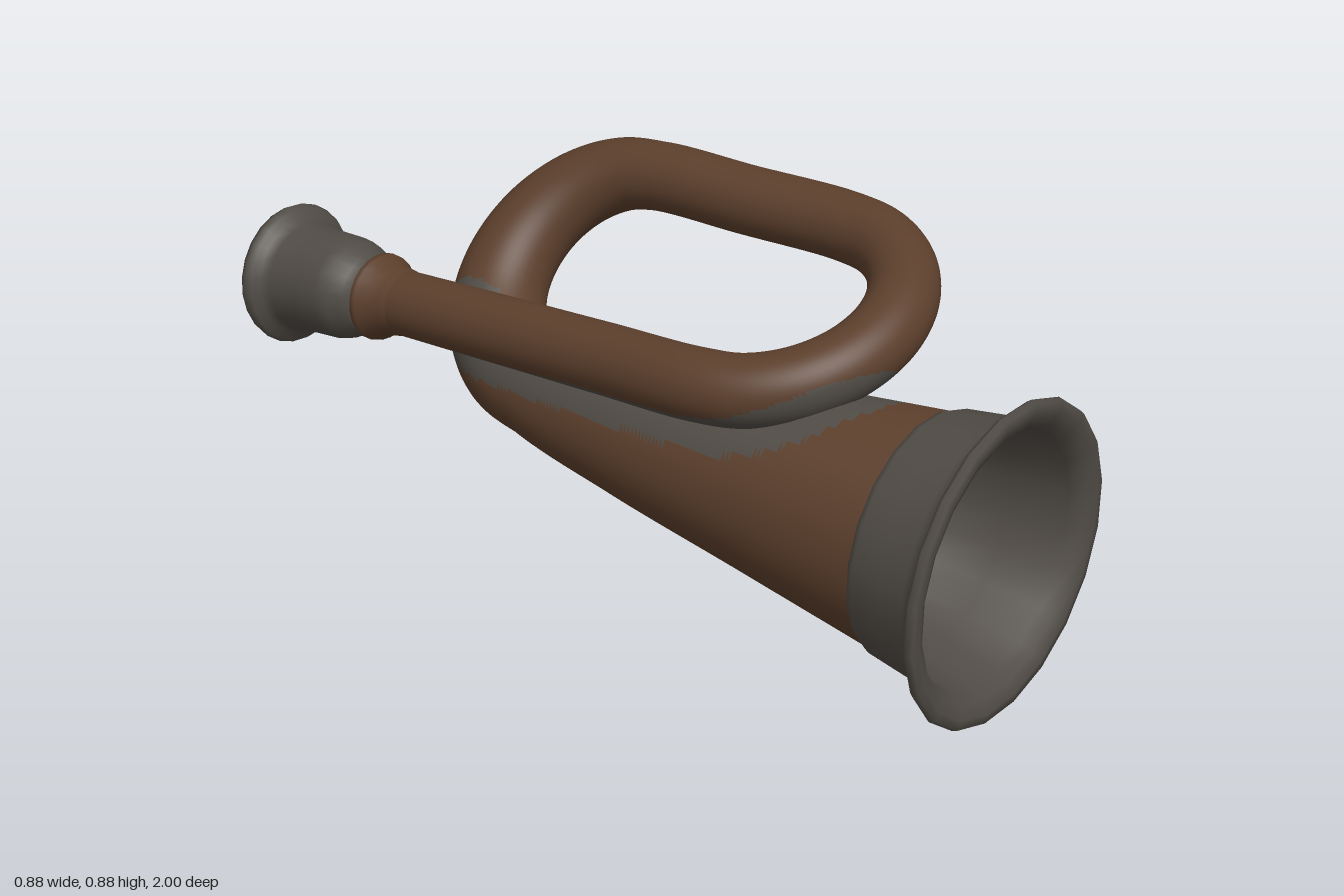
import * as THREE from 'three';

const brown = new THREE.MeshStandardMaterial({ color: 0x5c3f2c });
brown.name = 'brown tube';
const grey = new THREE.MeshStandardMaterial({ color: 0x504b45 });
grey.name = 'dark grey metal';

// Turned part: profile of [radius, distance along dir from origin]
function turned(name, material, profile, origin, dir, sides) {
  const geo = new THREE.LatheGeometry(profile.map(([r, s]) => new THREE.Vector2(r, s)), sides);
  geo.rotateY(Math.PI / sides);
  const mesh = new THREE.Mesh(geo, material);
  mesh.name = name;
  mesh.position.set(...origin);
  mesh.quaternion.setFromUnitVectors(new THREE.Vector3(0, 1, 0), new THREE.Vector3(...dir).normalize());
  return mesh;
}

// Half-ellipse of [x, y, z, radius] stations from a to b, bulging along z
function bend(a, b, bulge) {
  const stations = [];
  const steps = 8;
  for (let i = 0; i <= steps; i++) {
    const angle = (i / steps) * Math.PI;
    const k = (1 - Math.cos(angle)) / 2;
    const p = a.map((v, j) => v + (b[j] - v) * k);
    p[2] += bulge * Math.sin(angle);
    p[3] = a[3] + (b[3] - a[3]) * (i / steps);
    stations.push(p);
  }
  return stations;
}

// Tube with a radius that changes along its path
function taperedTube(stations, segments, sides) {
  const curve = new THREE.CatmullRomCurve3(stations.map(([x, y, z]) => new THREE.Vector3(x, y, z)));
  curve.arcLengthDivisions = 800;
  const radiusAt = (u) => {
    const t = curve.getUtoTmapping(u) * (stations.length - 1);
    const i = Math.min(Math.floor(t), stations.length - 2);
    return THREE.MathUtils.lerp(stations[i][3], stations[i + 1][3], t - i);
  };
  const geo = new THREE.TubeGeometry(curve, segments, 1, sides);
  const { position, normal, uv } = geo.attributes;
  const n = new THREE.Vector3();
  for (let i = 0; i < position.count; i++) {
    const u = uv.getX(i);
    n.fromBufferAttribute(normal, i);
    const p = curve.getPointAt(u).addScaledVector(n, radiusAt(u));
    position.setXYZ(i, p.x, p.y, p.z);
  }
  return { geo, curve, radiusAt };
}

// Grey patches where one stretch of the tube lies close to another
function paintContacts({ geo, curve, radiusAt }, gap) {
  const samples = [];
  for (let i = 0; i <= 120; i++) {
    const u = i / 120;
    samples.push({ u, p: curve.getPointAt(u), r: radiusAt(u) });
  }
  const { position, uv } = geo.attributes;
  const index = geo.index.array;
  const plain = [], worn = [];
  const c = new THREE.Vector3(), v = new THREE.Vector3();
  for (let f = 0; f < index.length; f += 3) {
    const tri = [index[f], index[f + 1], index[f + 2]];
    c.set(0, 0, 0);
    tri.forEach((i) => c.add(v.fromBufferAttribute(position, i)));
    c.divideScalar(3);
    const u = uv.getX(tri[0]);
    const near = samples.some((s) => Math.abs(s.u - u) > 0.25 && c.distanceTo(s.p) - s.r < gap);
    (near ? worn : plain).push(...tri);
  }
  geo.setIndex([...plain, ...worn]);
  geo.clearGroups();
  geo.addGroup(0, plain.length, 0);
  geo.addGroup(plain.length, worn.length, 1);
}

export function createModel() {
  const model = new THREE.Group();
  model.name = 'bugle';

  // Coiled tube: tapering bell, back bend, side leg, front bend, lead pipe
  const stations = [
    [-0.08, 0.365, 0.775, 0.266],
    [-0.073, 0.379, 0.4, 0.215],
    [-0.064, 0.396, 0, 0.163],
    ...bend([-0.047, 0.41, -0.27, 0.126], [0.355, 0.797, -0.25, 0.08], -0.255),
    [0.355, 0.797, 0, 0.079],
    ...bend([0.355, 0.797, 0.27, 0.079], [-0.196, 0.612, 0.27, 0.08], 0.28),
    [-0.175, 0.593, 0, 0.079],
    [-0.15, 0.571, -0.32, 0.077],
    [-0.123, 0.546, -0.68, 0.074],
  ];
  const tube = taperedTube(stations, 400, 48);
  paintContacts(tube, 0.06);
  const coil = new THREE.Mesh(tube.geo, [brown, grey]);
  coil.name = 'coiledTube';
  model.add(coil);

  // Flared bell rim with its hollow bowl
  model.add(turned('bellRim', grey, [
    [0.258, -0.006], [0.27, -0.002], [0.276, 0.012], [0.287, 0.08], [0.298, 0.15],
    [0.308, 0.175], [0.33, 0.189], [0.354, 0.195], [0.361, 0.205], [0.356, 0.218],
    [0.335, 0.22], [0.305, 0.207], [0.286, 0.18], [0.262, 0.05], [0.22, -0.15],
    [0.14, -0.32], [0.06, -0.385], [0, -0.4],
  ], [-0.08, 0.366, 0.765], [-0.02, -0.035, 1], 20));

  // Lead pipe end: collar and mouthpiece
  const end = [-0.128, 0.55, -0.62];
  const back = [0.095, -0.085, -1.26];
  model.add(turned('collar', brown, [
    [0.072, -0.03], [0.079, 0], [0.083, 0.03], [0.1, 0.056], [0.102, 0.068],
    [0.09, 0.078], [0.07, 0.082], [0.066, 0.12],
  ], end, back, 24));
  model.add(turned('mouthpiece', grey, [
    [0.06, 0.092], [0.078, 0.096], [0.09, 0.108], [0.112, 0.14], [0.12, 0.17],
    [0.122, 0.24], [0.128, 0.31], [0.138, 0.33], [0.158, 0.34], [0.166, 0.354],
    [0.161, 0.368], [0.142, 0.37], [0.118, 0.35], [0.09, 0.28], [0.05, 0.22], [0, 0.2],
  ], end, back, 24));

  return model;
}
